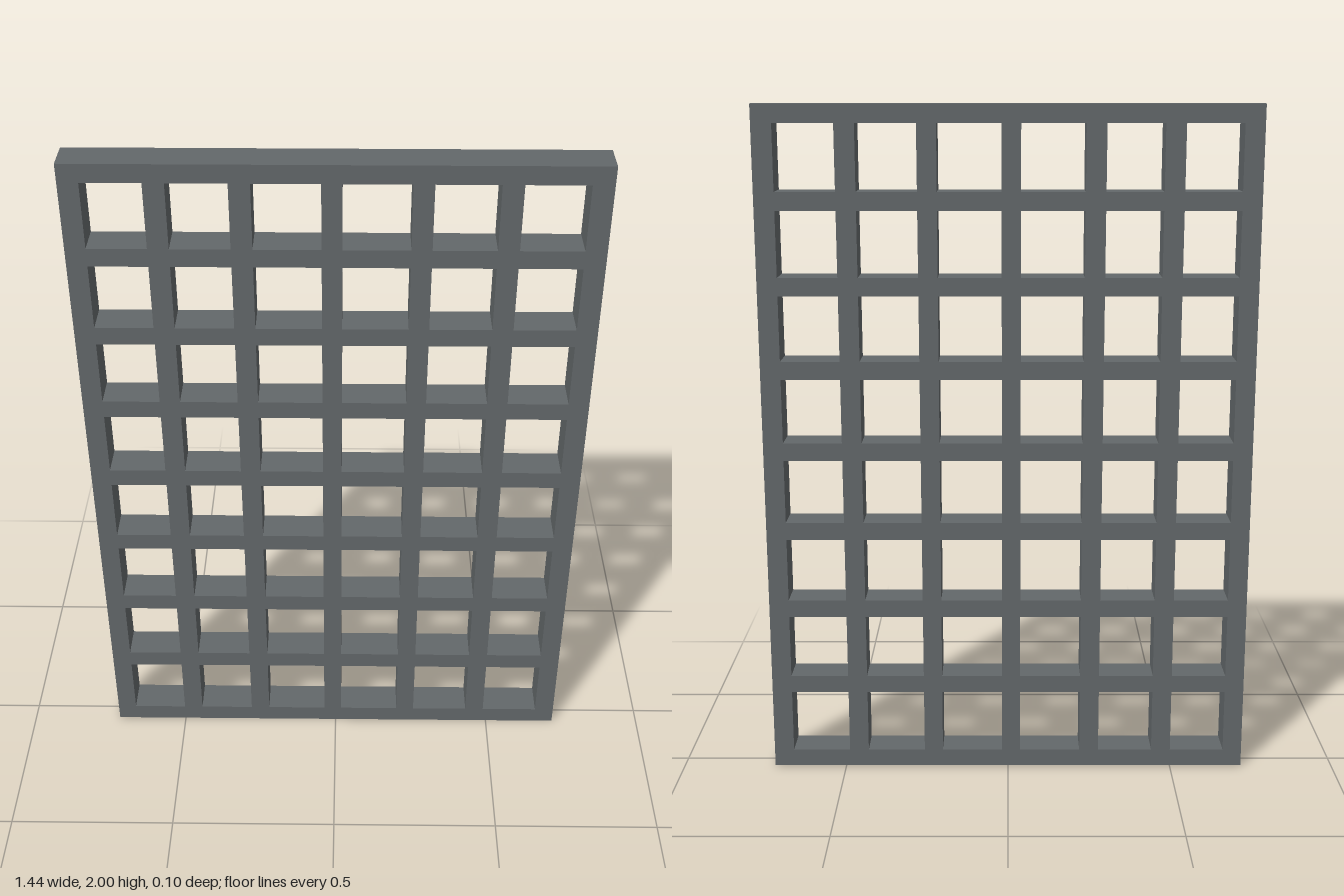
import * as THREE from 'three';

const HALF_WIDTH = 0.72, HEIGHT = 2, DEPTH = 0.1;
const ROWS = 8, RAIL = 0.053;

// Left and right edges of each column of openings (slightly uneven widths)
const COLUMNS = [
  [-0.663, -0.5], [-0.442, -0.278], [-0.22, -0.037],
  [0.018, 0.201], [0.257, 0.43], [0.488, 0.661],
];

// Traces a rectangle on a Shape or Path
function rectangle(path, x0, y0, x1, y1) {
  path.moveTo(x0, y0);
  path.lineTo(x1, y0);
  path.lineTo(x1, y1);
  path.lineTo(x0, y1);
  path.closePath();
  return path;
}

export function createModel() {
  const group = new THREE.Group();
  group.name = 'latticePanel';
  const material = new THREE.MeshStandardMaterial({ color: 0x63686a });

  // Outer frame with one hole per opening; rails are evenly spaced
  const outline = rectangle(new THREE.Shape(), -HALF_WIDTH, 0, HALF_WIDTH, HEIGHT);
  const pitch = (HEIGHT - RAIL) / ROWS;
  for (let row = 0; row < ROWS; row++) {
    const bottom = row * pitch + RAIL;
    const top = (row + 1) * pitch;
    for (const [left, right] of COLUMNS) {
      outline.holes.push(rectangle(new THREE.Path(), left, bottom, right, top));
    }
  }

  // Solid grid, centred front to back
  const geometry = new THREE.ExtrudeGeometry(outline, { depth: DEPTH, bevelEnabled: false });
  geometry.translate(0, 0, -DEPTH / 2);
  const grid = new THREE.Mesh(geometry, material);
  grid.name = 'lattice';
  group.add(grid);

  return group;
}
